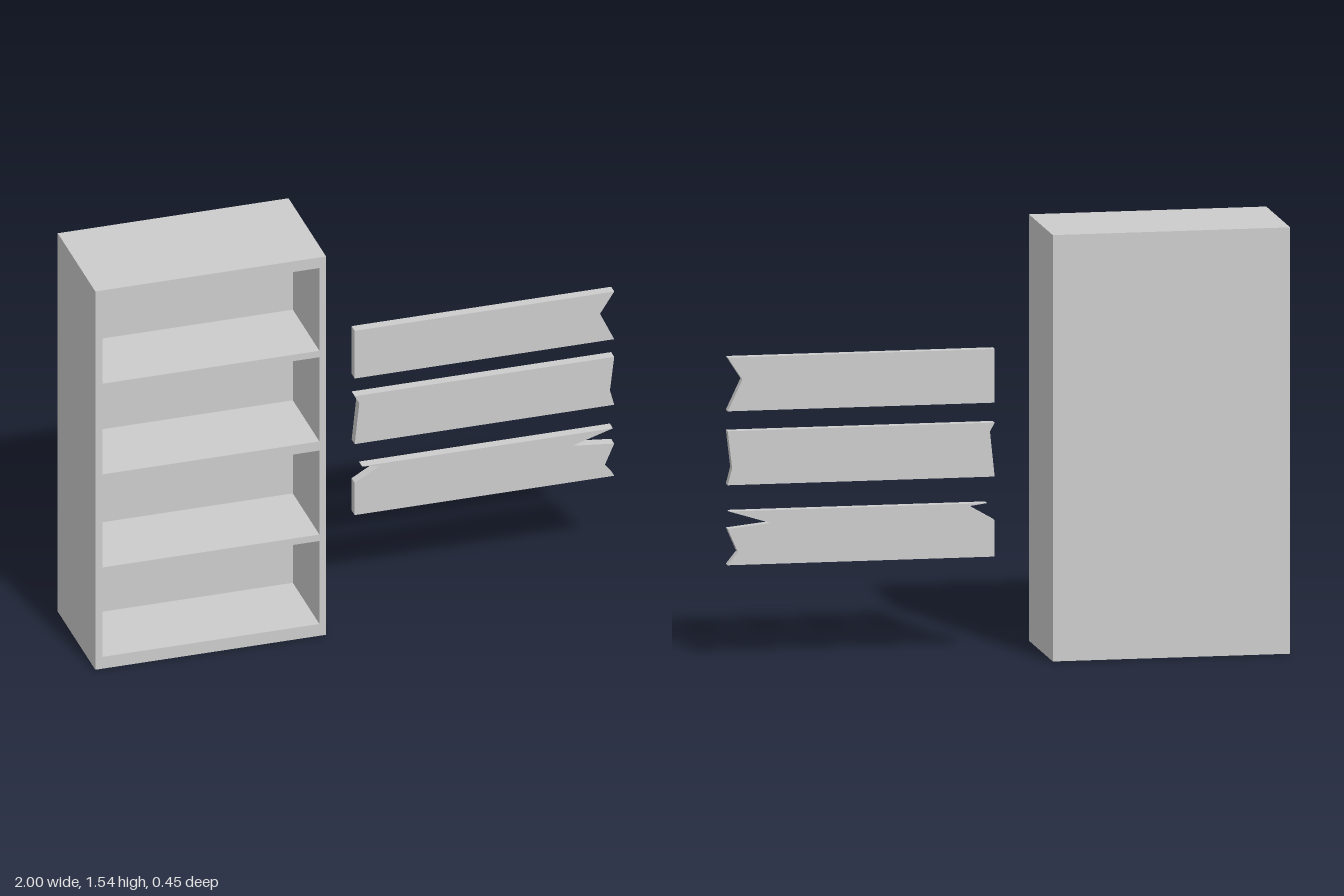
import * as THREE from 'three';

const material = new THREE.MeshStandardMaterial({ color: 0xcccccc, flatShading: true });

function addMesh(parent, name, geometry, z = 0) {
  const mesh = new THREE.Mesh(geometry, material);
  mesh.name = name;
  mesh.position.z = z;
  parent.add(mesh);
  return mesh;
}

const outline = (points) => points.map(([x, y]) => new THREE.Vector2(x, y));
const rect = (x0, y0, x1, y1) => outline([[x0, y0], [x1, y0], [x1, y1], [x0, y1]]);
const extrude = (shape, depth) => new THREE.ExtrudeGeometry(shape, { depth, bevelEnabled: false });

function createBookcase() {
  const bookcase = new THREE.Group();
  bookcase.name = 'bookcase';
  const left = -1, right = -0.139, height = 1.54, front = 0.224, inner = -0.093;

  // Frame and shelves: one slab with four compartments cut through
  const frame = new THREE.Shape(rect(left, 0, right, height));
  for (const [y0, y1] of [[0.048, 0.386], [0.412, 0.754], [0.791, 1.134], [1.16, 1.497]]) {
    frame.holes.push(new THREE.Path(rect(left + 0.027, y0, right - 0.025, y1).reverse()));
  }
  addMesh(bookcase, 'frameAndShelves', extrude(frame, front - inner), inner);

  // Thick back closing the compartments
  const back = new THREE.Shape(rect(left, 0, right, height));
  addMesh(bookcase, 'backPanel', extrude(back, inner + front), -front);
  return bookcase;
}

function createPlanks() {
  const planks = new THREE.Group();
  planks.name = 'brokenPlanks';
  const thickness = 0.037;

  // Outlines run counter-clockwise from the lower left corner
  const outlines = {
    upperPlank: [[0.032, 0.906], [1, 0.906], [0.947, 1.018], [1, 1.1], [0.032, 1.1]],
    middlePlank: [[0.032, 0.639], [1, 0.639], [0.984, 0.7], [1, 0.834], [0.032, 0.834], [0.049, 0.802]],
    lowerPlank: [[0.032, 0.35], [1, 0.35], [0.963, 0.396], [1, 0.481], [0.845, 0.498],
      [0.995, 0.544], [0.059, 0.544], [0.125, 0.535], [0.032, 0.481]],
  };
  for (const [name, points] of Object.entries(outlines)) {
    addMesh(planks, name, extrude(new THREE.Shape(outline(points)), thickness), -thickness / 2);
  }
  return planks;
}

export function createModel() {
  const model = new THREE.Group();
  model.name = 'bookcaseWithPlanks';
  model.add(createBookcase(), createPlanks());
  return model;
}
